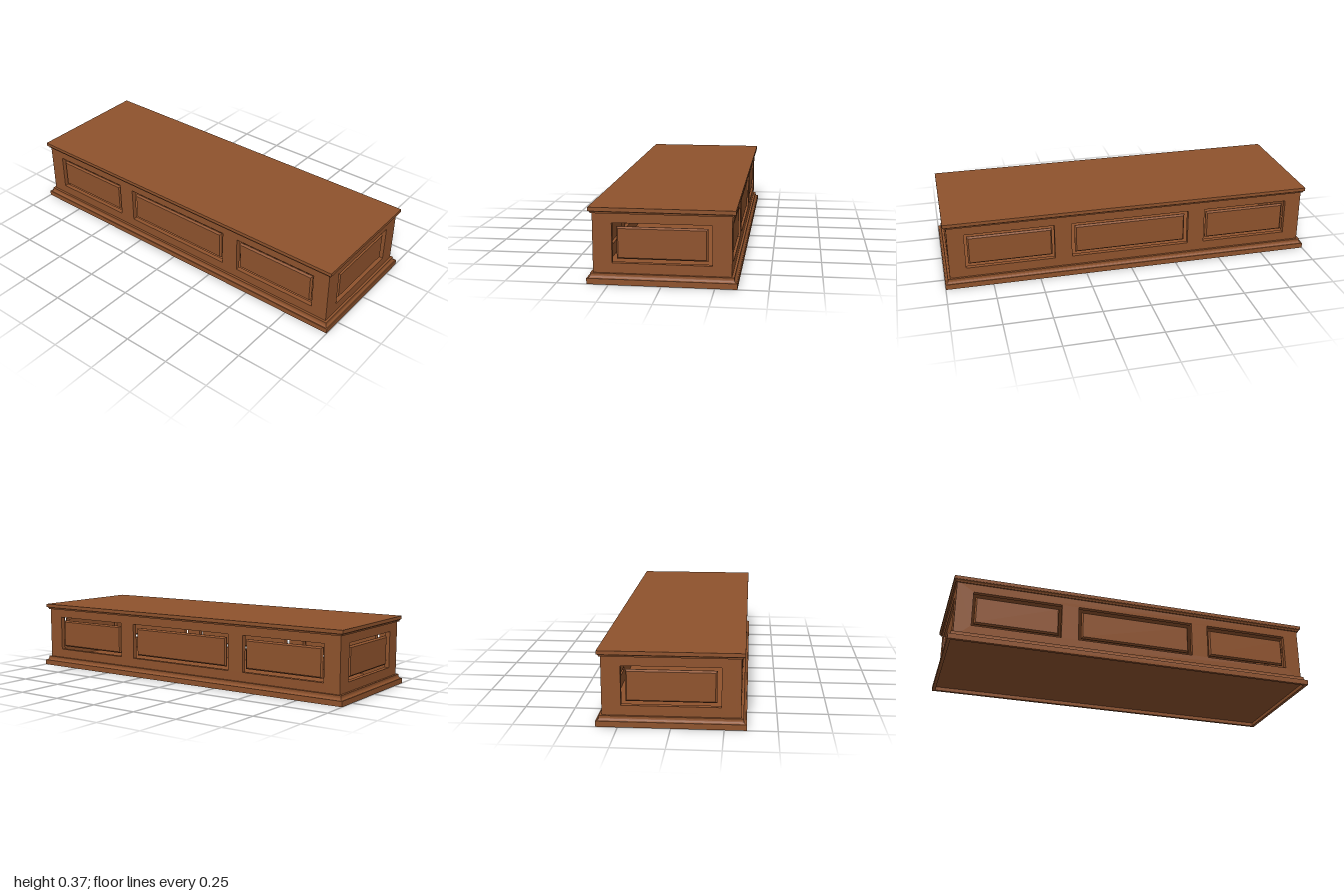
import * as THREE from 'three';

const HX = 0.973, HZ = 0.328;          // half size of the body
const WALL = 0.025, FLOOR = 0.02, TOP = 0.35;
const OPEN_Y = [0.1, 0.293], PANEL_Y = [0.117, 0.273];

function rect(Type, x0, x1, y0, y1) {
  return new Type([[x0, y0], [x1, y0], [x1, y1], [x0, y1]].map(p => new THREE.Vector2(...p)));
}

// Sweeps a closed [offset from body, height] profile round the rectangular body with mitred corners
function mouldingGeometry(profile) {
  const corners = [[-1, 1], [1, 1], [1, -1], [-1, -1]];
  const at = (c, p) => [c[0] * (HX + p[0]), p[1], c[1] * (HZ + p[0])];
  const pos = [];
  corners.forEach((c, i) => {
    const d = corners[(i + 1) % 4];
    profile.forEach((p, j) => {
      const q = profile[(j + 1) % profile.length];
      pos.push(...at(c, p), ...at(d, p), ...at(d, q), ...at(c, p), ...at(d, q), ...at(c, q));
    });
  });
  const g = new THREE.BufferGeometry();
  g.setAttribute('position', new THREE.Float32BufferAttribute(pos, 3));
  g.computeVertexNormals();
  return g;
}

// Concave quarter curve between two profile points, bulging towards the corner [x1, y0]-style control point
function cove(a, control, b, n = 6) {
  const curve = new THREE.QuadraticBezierCurve(
    new THREE.Vector2(...a), new THREE.Vector2(...control), new THREE.Vector2(...b));
  return curve.getPoints(n).map(p => [p.x, p.y]);
}

export function createModel() {
  const model = new THREE.Group();
  model.name = 'panelledPlatform';
  const wood = new THREE.MeshStandardMaterial({ color: 0x8f532d });
  wood.name = 'brown wood';

  const add = (parent, name, geometry, x = 0, y = 0, z = 0) => {
    const mesh = new THREE.Mesh(geometry, wood);
    mesh.name = name;
    mesh.position.set(x, y, z);
    parent.add(mesh);
    return mesh;
  };

  // One wall with window openings and a loose raised panel in each
  function wall(name, halfWidth, bays) {
    const group = new THREE.Group();
    group.name = name;
    const frame = rect(THREE.Shape, -halfWidth, halfWidth, FLOOR, TOP);
    bays.forEach(b => frame.holes.push(rect(THREE.Path, b.open[0], b.open[1], ...OPEN_Y)));
    add(group, 'wallFrame', new THREE.ExtrudeGeometry(frame, { depth: WALL, bevelEnabled: false }), 0, 0, -WALL);
    bays.forEach(b => {
      const bevel = 0.008;
      const face = rect(THREE.Shape, b.panel[0] + bevel, b.panel[1] - bevel, PANEL_Y[0] + bevel, PANEL_Y[1] - bevel);
      add(group, 'raisedPanel', new THREE.ExtrudeGeometry(face, {
        depth: 0.004, bevelThickness: 0.01, bevelSize: bevel, bevelSegments: 1,
      }), 0, 0, -0.02);
    });
    model.add(group);
    return group;
  }

  // Long sides with three bays, short ends with one
  const longBays = [
    { open: [-0.885, -0.414], panel: [-0.872, -0.426] },
    { open: [-0.322, 0.322], panel: [-0.304, 0.304] },
    { open: [0.414, 0.885], panel: [0.426, 0.872] },
  ];
  const endBays = [{ open: [-0.236, 0.236], panel: [-0.216, 0.216] }];
  wall('frontWall', HX, longBays).position.z = HZ;
  const back = wall('backWall', HX, longBays);
  back.position.z = -HZ;
  back.rotation.y = Math.PI;
  for (const side of [1, -1]) {
    const end = wall(side > 0 ? 'leftWall' : 'rightWall', HZ - WALL, endBays);
    end.position.x = side * HX;
    end.rotation.y = side * Math.PI / 2;
  }

  // Plinth with a coved upper edge
  add(model, 'baseMoulding', mouldingGeometry([
    [0.01, 0], [0.027, 0], [0.027, 0.028], [0.021, 0.028],
    ...cove([0.02, 0.029], [0.013, 0.033], [0.012, 0.042]),
    [0.012, 0.051], [-0.005, 0.051], [-0.005, 0.03], [0.01, 0.03],
  ]));

  // Cove under the top slab
  add(model, 'topMoulding', mouldingGeometry([
    [-0.005, 0.338], [0.008, 0.338],
    ...cove([0.008, 0.34], [0.009, 0.347], [0.015, 0.349], 5),
    [0.015, TOP], [-0.005, TOP],
  ]));

  // Floor recessed inside the plinth, and the top slab
  add(model, 'floor', new THREE.BoxGeometry(2 * (HX + 0.01), 0.015, 2 * (HZ + 0.01)), 0, FLOOR + 0.0075, 0);
  add(model, 'topSlab', new THREE.BoxGeometry(2 * (HX + 0.017), 0.018, 2 * (HZ + 0.017)), 0, TOP + 0.009, 0);

  return model;
}
